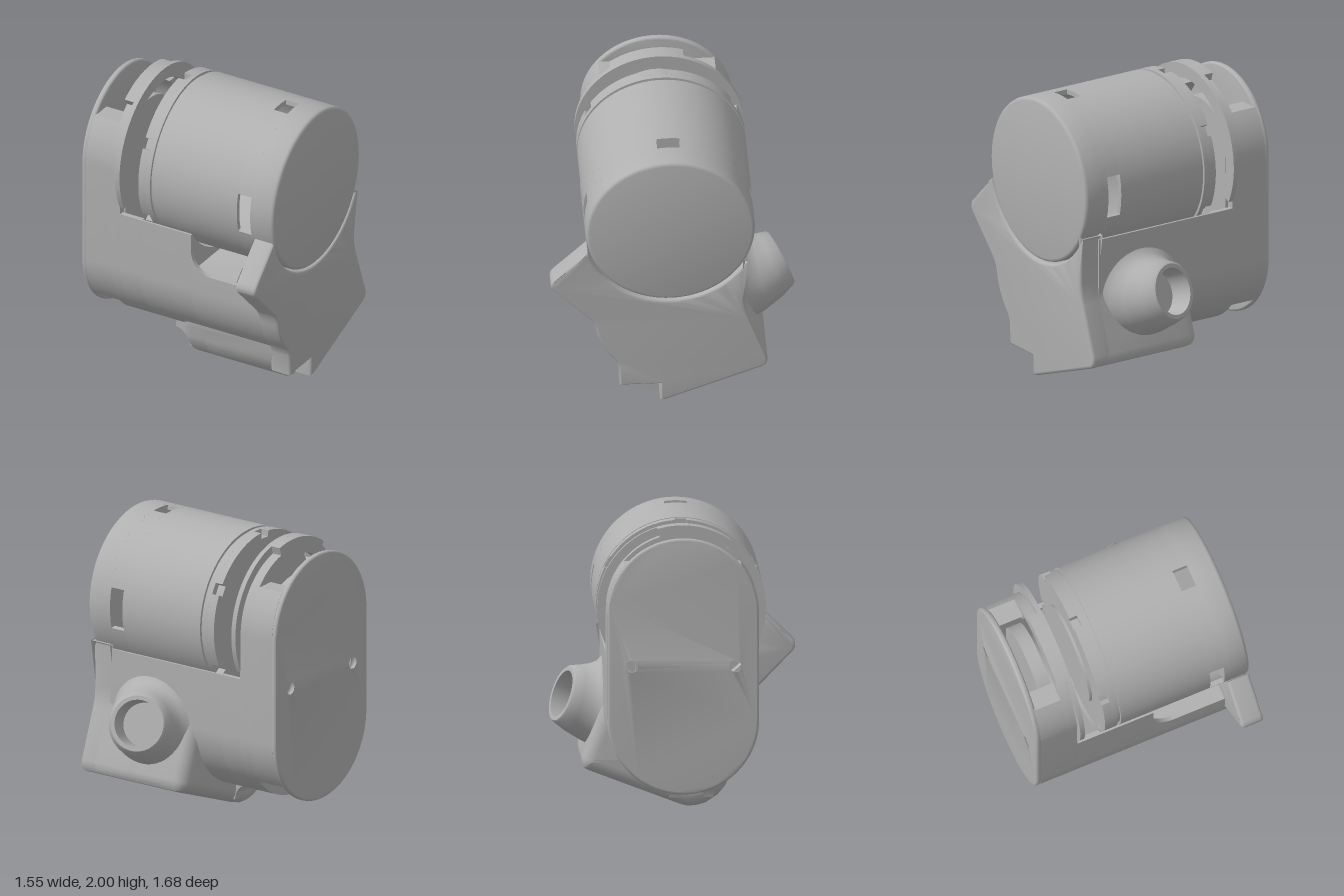
import * as THREE from 'three';
import { toCreasedNormals } from 'three/addons/utils/BufferGeometryUtils.js';

const CZ = 0.02, TOP = 1.43, LOW = 0.705; // drum axis and lower centre of the housing
const RAD = Math.PI / 180;

// Arc of [z, y] points; 0 degrees faces the front, 90 faces up
function arc(cy, r, a0, a1, n = Math.max(2, Math.ceil(Math.abs(a1 - a0) / 4))) {
  return Array.from({ length: n + 1 }, (_, i) => {
    const a = (a0 + (a1 - a0) * i / n) * RAD;
    return [CZ + r * Math.cos(a), cy + r * Math.sin(a)];
  });
}
const capsule = r => [...arc(TOP, r, 0, 180), ...arc(LOW, r, 180, 360)];
const circle = r => arc(TOP, r, 0, 356, 89);
const mirror = pts => pts.map(([z, y]) => [2 * CZ - z, y]);
const toVec = pts => pts.map(([z, y]) => new THREE.Vector2(-z, y));

// Prism along x from a section of [z, y] points
function prism(pts, x0, x1, holes = [], bevel = 0) {
  const shape = new THREE.Shape(toVec(pts));
  holes.forEach(h => shape.holes.push(new THREE.Path(toVec(h))));
  const g = new THREE.ExtrudeGeometry(shape, {
    depth: x1 - x0 - 2 * bevel, bevelEnabled: bevel > 0, bevelSize: bevel,
    bevelThickness: bevel, bevelOffset: -bevel, bevelSegments: 5,
  });
  g.rotateY(Math.PI / 2).translate(x0 + bevel, 0, 0);
  return toCreasedNormals(g, 0.6);
}
const sector = (x0, x1, rO, rI, a0, a1) =>
  prism([...arc(TOP, rO, a0, a1), ...arc(TOP, rI, a1, a0)], x0, x1);

export function createModel() {
  const model = new THREE.Group();
  const grey = new THREE.MeshStandardMaterial({ color: 0xb0b0b0, side: THREE.DoubleSide });
  grey.name = 'grey plastic';
  const add = (name, geometry) => {
    const m = new THREE.Mesh(geometry, grey);
    m.name = name;
    model.add(m);
    return m;
  };

  // Side plate with two screw holes
  const screw = s => Array.from({ length: 24 }, (_, i) => {
    const a = i * 15 * RAD;
    return [CZ + s * 0.35 + 0.06 * Math.cos(a), 1.07 + 0.06 * Math.sin(a)];
  });
  const plate = add('sidePlate', prism(capsule(0.515), -0.775, -0.73, [screw(1), screw(-1)], 0.018));
  plate.name = 'sidePlate';

  // Walls between the side plate and collar, open at top and bottom
  const wall = [...arc(LOW, 0.515, -40.6, 0), ...arc(TOP, 0.515, 0, 39.8),
    ...arc(TOP, 0.42, 51.8, 0), ...arc(LOW, 0.42, 0, -52.9)];
  add('frontSpacerWall', prism(wall, -0.74, -0.54));
  add('backSpacerWall', prism(mirror(wall), -0.74, -0.54));
  add('bulkhead', prism(capsule(0.32), -0.64, -0.545));

  // Collar, flange and top tab
  add('collar', prism(capsule(0.515), -0.545, -0.47, [capsule(0.46)]));
  add('flange', sector(-0.475, -0.44, 0.573, 0.48, -27, 207));
  add('topTab', sector(-0.545, -0.44, 0.573, 0.48, 55, 107));

  // Housing trough: open shell, then a cradle under the drum
  const rim = 1.12;
  add('troughShell', prism([...arc(LOW, 0.515, 180, 360), [CZ + 0.515, rim], [CZ + 0.48, rim],
    ...arc(LOW, 0.48, 360, 180), [CZ - 0.48, rim], [CZ - 0.515, rim]], -0.475, -0.3));
  const outer = arc(LOW, 0.515, 180, 360);
  add('cradle', prism([...outer, [CZ + 0.515, rim], ...arc(TOP, 0.588, 328.2, 211.8),
    [CZ - 0.515, rim]], -0.31, 0.09));
  add('cradleCutaway', prism([...outer, [CZ + 0.515, 0.83], [CZ + 0.02, 0.83],
    ...arc(TOP, 0.588, 270, 211.8), [CZ - 0.515, rim]], 0.09, 0.63));

  // Rounded corner of the front cutaway
  const corner = new THREE.Shape();
  corner.moveTo(0.09, 0.83);
  corner.lineTo(0.25, 0.83);
  corner.absarc(0.25, 0.99, 0.16, -Math.PI / 2, -Math.PI, true);
  corner.closePath();
  add('cutawayCorner', new THREE.ExtrudeGeometry(corner,
    { depth: 0.03, bevelEnabled: false, curveSegments: 16 }).translate(0, 0, 0.505));

  // Lower compartment with a rounded inner end
  const back = [[-0.59, 0.247], [-0.625, 0.265], [-0.64, 0.3], [-0.635, 0.34],
    [-0.51, 0.68], [-0.49, 0.75], [-0.485, 0.82]];
  const lower = [[0.39, 0.36], [0.372, 0.3], [0.365, 0.22], [0.335, 0.14], [0.28, 0.075],
    [0.2, 0.022], [0.13, 0.003], [0.07, 0.002], [0.02, 0.016], ...back, [0.3, 0.82]];
  add('lowerCompartment', prism(lower, 0.1, 0.65));
  add('compartmentEnd', prism(lower, -0.1, 0.4, [], 0.09));
  // Fillet from the compartment to the trough
  const fillet = new THREE.Shape();
  fillet.moveTo(-0.2, 0.19);
  fillet.quadraticCurveTo(-0.11, 0.18, -0.09, 0.07);
  fillet.lineTo(0, 0.1);
  fillet.lineTo(0, 0.29);
  fillet.lineTo(-0.14, 0.29);
  fillet.quadraticCurveTo(-0.2, 0.27, -0.2, 0.19);
  add('compartmentFillet', toCreasedNormals(new THREE.ExtrudeGeometry(fillet,
    { depth: 0.3, bevelEnabled: false }).translate(0, 0, -0.05), 0.6));

  // End plate with front arm, slot and corner recess
  const endShape = [[0.585, 1.27], [0.815, 1.045], [0.832, 1.02], [0.834, 0.99], [0.82, 0.965],
    [0.565, 0.7], [0.54, 0.66], ...arc(LOW, 0.515, -10, -44), [0.37, 0.29], [0.365, 0.14],
    [0.09, 0.14], [0.09, 0.002], [0.06, 0.003], ...back, [-0.485, 1.15], ...arc(TOP, 0.585, 209, 344)];
  const slot = [[0.77, 1.012], [0.788, 1.035], [0.738, 1.085], [0.716, 1.062]];
  add('endPlate', prism(endShape, 0.615, 0.775, [slot], 0.02));

  // Drum shell with window band near the cap
  add('drumShell', prism(circle(0.573), -0.175, 0.485, [circle(0.54)]));
  [[14.7, 82], [98, 165.3], [194.7, 345.3]].forEach(([a, b]) =>
    add('drumWindowBand', sector(0.485, 0.59, 0.573, 0.54, a, b)));
  add('drumShellEnd', prism(circle(0.573), 0.59, 0.612, [circle(0.54)]));

  // Drum locking ring with six notches, groove and hub
  add('drumGroove', prism(circle(0.555), -0.205, -0.17));
  add('lockingRing', prism(circle(0.573), -0.235, -0.2));
  add('lockingCore', prism(circle(0.53), -0.292, -0.23));
  for (let i = 0; i < 6; i++)
    add('lockingSegment', sector(-0.292, -0.235, 0.573, 0.525, i * 60 - 26, i * 60 + 26));
  add('drumHub', prism(circle(0.35), -0.312, -0.28));

  // End cap with rounded rim
  const capProfile = [[0, 0.612], [0.573, 0.612], [0.573, 0.75], [0.569, 0.764], [0.56, 0.772], [0.548, 0.775], [0, 0.775]]
    .map(p => new THREE.Vector2(...p));
  const cap = new THREE.LatheGeometry(capProfile, 96).rotateZ(-Math.PI / 2).translate(0, TOP, CZ);
  add('endCap', toCreasedNormals(cap, 0.6));

  // Slanted nozzle lofted through rings: centre, radius, axis blend
  const mouthAxis = new THREE.Vector3(-0.28, 0.33, -0.9).normalize();
  const baseAxis = new THREE.Vector3(0, 0, -1);
  const rings = [
    [0.28, 0.67, -0.45, 0.39, 0], [0.28, 0.665, -0.49, 0.33, 0], [0.275, 0.66, -0.53, 0.295, 0.1],
    [0.26, 0.675, -0.6, 0.265, 0.4], [0.23, 0.71, -0.69, 0.23, 0.8], [0.2, 0.74, -0.755, 0.203, 1],
    [0.197, 0.743, -0.768, 0.19, 1], [0.197, 0.743, -0.768, 0.162, 1],
    [0.24, 0.69, -0.63, 0.15, 1], [0.24, 0.69, -0.63, 0.001, 1],
  ];
  const N = 48, pos = [], idx = [];
  rings.forEach(([x, y, z, r, t], k) => {
    const n = baseAxis.clone().lerp(mouthAxis, t).normalize();
    const u = new THREE.Vector3(0, 1, 0).cross(n).normalize();
    const v = n.clone().cross(u);
    for (let i = 0; i < N; i++) {
      const a = i / N * Math.PI * 2;
      const p = new THREE.Vector3(x, y, z).addScaledVector(u, r * Math.cos(a)).addScaledVector(v, r * Math.sin(a));
      pos.push(p.x, p.y, p.z);
      if (k) {
        const j = (i + 1) % N, A = (k - 1) * N, B = k * N;
        idx.push(A + i, A + j, B + j, A + i, B + j, B + i);
      }
    }
  });
  const nozzle = new THREE.BufferGeometry();
  nozzle.setAttribute('position', new THREE.Float32BufferAttribute(pos, 3));
  nozzle.setIndex(idx);
  add('nozzle', toCreasedNormals(nozzle, 0.7));

  return model;
}
